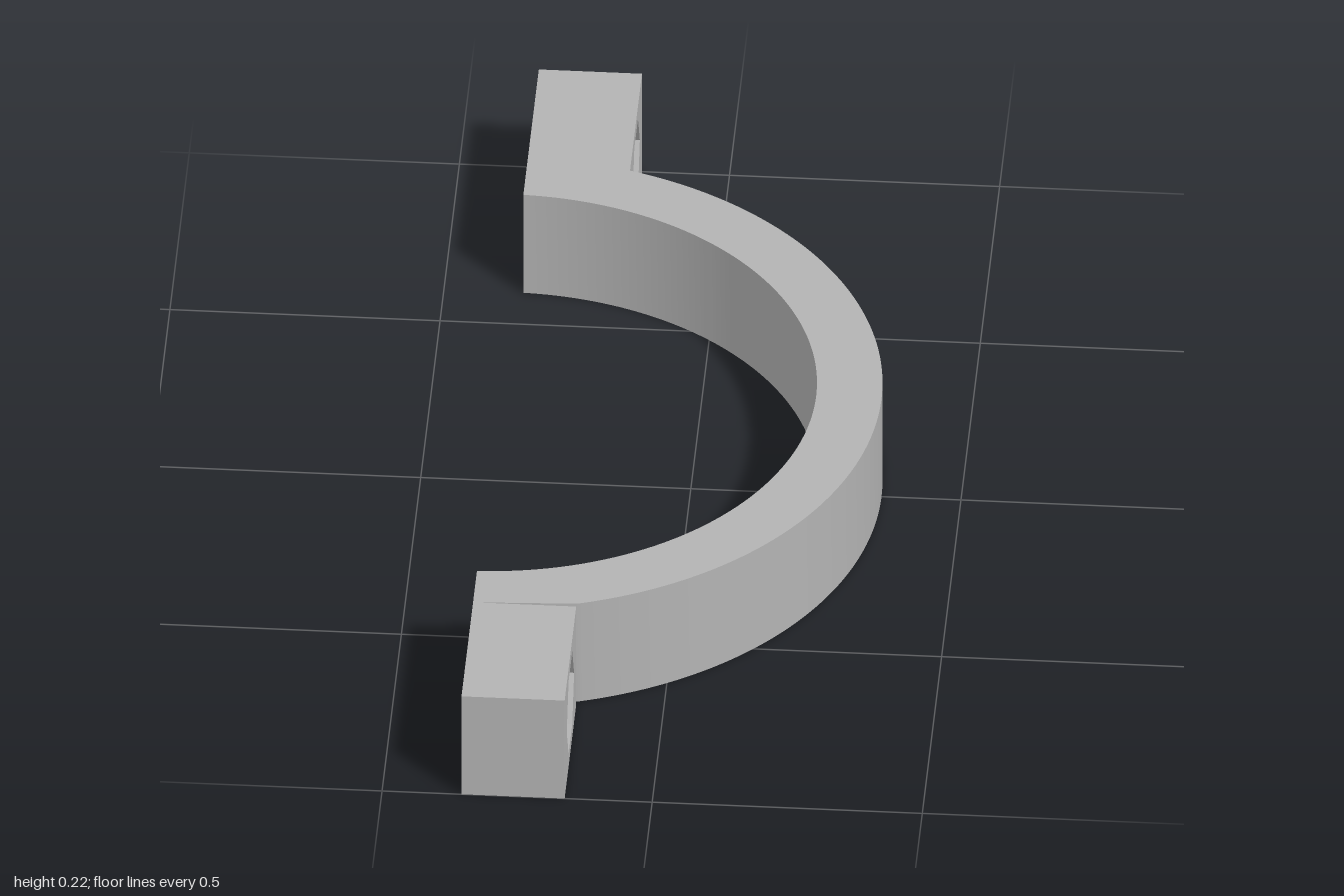
import * as THREE from 'three';
import { toCreasedNormals } from 'three/addons/utils/BufferGeometryUtils.js';

const HEIGHT = 0.222;
const BACK = -0.353, FACE = -0.162;   // flange mating face and nut face (x)
const JOIN = 0.7, END = 1;            // flange span along z
const CX = -0.368, R_IN = 0.6, R_OUT = 0.721;
const NUT_DEPTH = 0.08;

const extrude = (shape, depth) => toCreasedNormals(
  new THREE.ExtrudeGeometry(shape, { depth, bevelEnabled: false, curveSegments: 72 }), 0.5);

// Half ring with short shoulders that meet the flanges
function ringGeometry() {
  const a = Math.acos((FACE - CX) / R_OUT);
  const b = Math.acos((BACK - CX) / R_IN);
  const s = new THREE.Shape();
  s.moveTo(FACE, -JOIN);
  s.absarc(CX, 0, R_OUT, -a, a, false);
  s.lineTo(FACE, JOIN);
  s.lineTo(BACK, JOIN);
  s.absarc(CX, 0, R_IN, b, -b, true);
  s.lineTo(BACK, -JOIN);
  s.closePath();
  return extrude(s, HEIGHT).rotateX(-Math.PI / 2);
}

// One slab of a flange, pierced by the given hole and extruded along x
function slabGeometry(hole, depth) {
  const w = (END - JOIN) / 2, h = HEIGHT / 2;
  const s = new THREE.Shape([
    new THREE.Vector2(-w, -h), new THREE.Vector2(w, -h),
    new THREE.Vector2(w, h), new THREE.Vector2(-w, h),
  ]);
  s.holes.push(hole);
  return extrude(s, depth).rotateY(Math.PI / 2);
}

export function createModel() {
  const grey = new THREE.MeshStandardMaterial({ color: 0xb3b3b3 });
  grey.name = 'grey';
  const model = new THREE.Group();
  model.name = 'halfClamp';

  const add = (name, geometry, x, y, z) => {
    const mesh = new THREE.Mesh(geometry, grey);
    mesh.name = name;
    mesh.position.set(x, y, z);
    model.add(mesh);
  };

  add('halfRing', ringGeometry(), 0, 0, 0);

  // Round bolt hole behind, hexagonal nut pocket in front
  const bolt = new THREE.Path().absarc(0, 0, 0.05, 0, Math.PI * 2, true);
  const hex = new THREE.Path(Array.from({ length: 6 }, (_, i) => {
    const t = -i * Math.PI / 3;
    return new THREE.Vector2(0.095 * Math.cos(t), 0.095 * Math.sin(t));
  }));
  hex.closePath();
  const pocketStart = FACE - NUT_DEPTH;
  const boltSlab = slabGeometry(bolt, pocketStart - BACK);
  const nutSlab = slabGeometry(hex, NUT_DEPTH);

  for (const [label, side] of [['front', 1], ['back', -1]]) {
    const z = side * (JOIN + END) / 2;
    add(label + 'FlangeBoltSide', boltSlab, BACK, HEIGHT / 2, z);
    add(label + 'FlangeNutSide', nutSlab, pocketStart, HEIGHT / 2, z);
  }
  return model;
}
